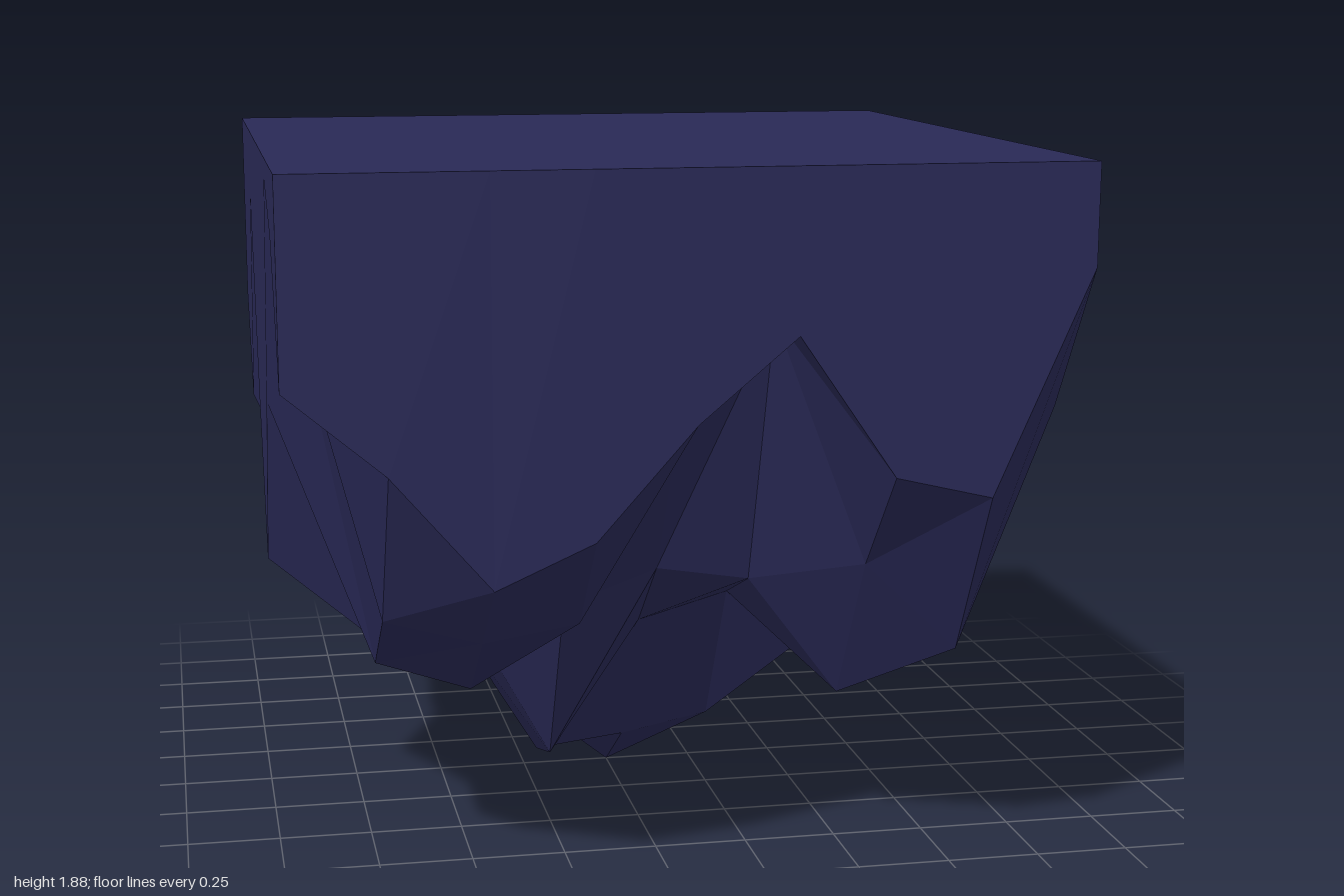
import * as THREE from 'three';

// Underside heights on a 0.25 grid: one cross-section per step,
// front (z = 1) to back (z = -1), each running from x = -1 to x = 1.
const SECTIONS = [
  [1.37, 1.16, 0.87, 0.98, 1.26, 1.47, 1.11, 1.05, 1.62],
  [1.71, 0.74, 0.67, 0.71, 1.18, 1.48, 0.83, 0.59, 1.23],
  [1.83, 0.56, 0.475, 0.69, 0.78, 0.74, 0.41, 0.97, 1.18],
  [1.22, 0.57, 0.65, 0.20, 0.57, 0.64, 0.51, 0.47, 0.65],
  [0.73, 0.85, 0.54, 0.13, 0.16, 0.21, 0.40, 0.47, 0.77],
  [1.14, 0.98, 0.60, 0.20, 0.00, 0.14, 0.67, 1.10, 0.91],
  [1.69, 0.52, 0.52, 0.44, 0.18, 0.28, 0.25, 1.08, 1.28],
  [1.06, 0.75, 0.95, 0.80, 0.47, 0.90, 1.00, 1.27, 1.32],
  [1.34, 1.05, 1.27, 1.00, 1.28, 1.63, 1.35, 1.45, 1.44],
];
const HEIGHT = 1.88;
const CELLS = SECTIONS.length - 1;

export function createModel() {
  const group = new THREE.Group();
  group.name = 'floatingRock';

  // Flat-topped block whose bottom vertices are pulled into jagged rock
  const geometry = new THREE.BoxGeometry(2, HEIGHT, 2, CELLS, 1, CELLS);
  geometry.translate(0, HEIGHT / 2, 0);
  const pos = geometry.attributes.position;
  for (let i = 0; i < pos.count; i++) {
    if (pos.getY(i) > HEIGHT / 2) continue;
    const column = Math.round((pos.getX(i) + 1) * CELLS / 2);
    const row = Math.round((1 - pos.getZ(i)) * CELLS / 2);
    pos.setY(i, SECTIONS[row][column]);
  }

  // Faceted stone
  const faceted = geometry.toNonIndexed();
  faceted.computeVertexNormals();
  const material = new THREE.MeshStandardMaterial({ color: 0x292956, flatShading: true });
  const rock = new THREE.Mesh(faceted, material);
  rock.name = 'rockBody';
  group.add(rock);
  return group;
}
